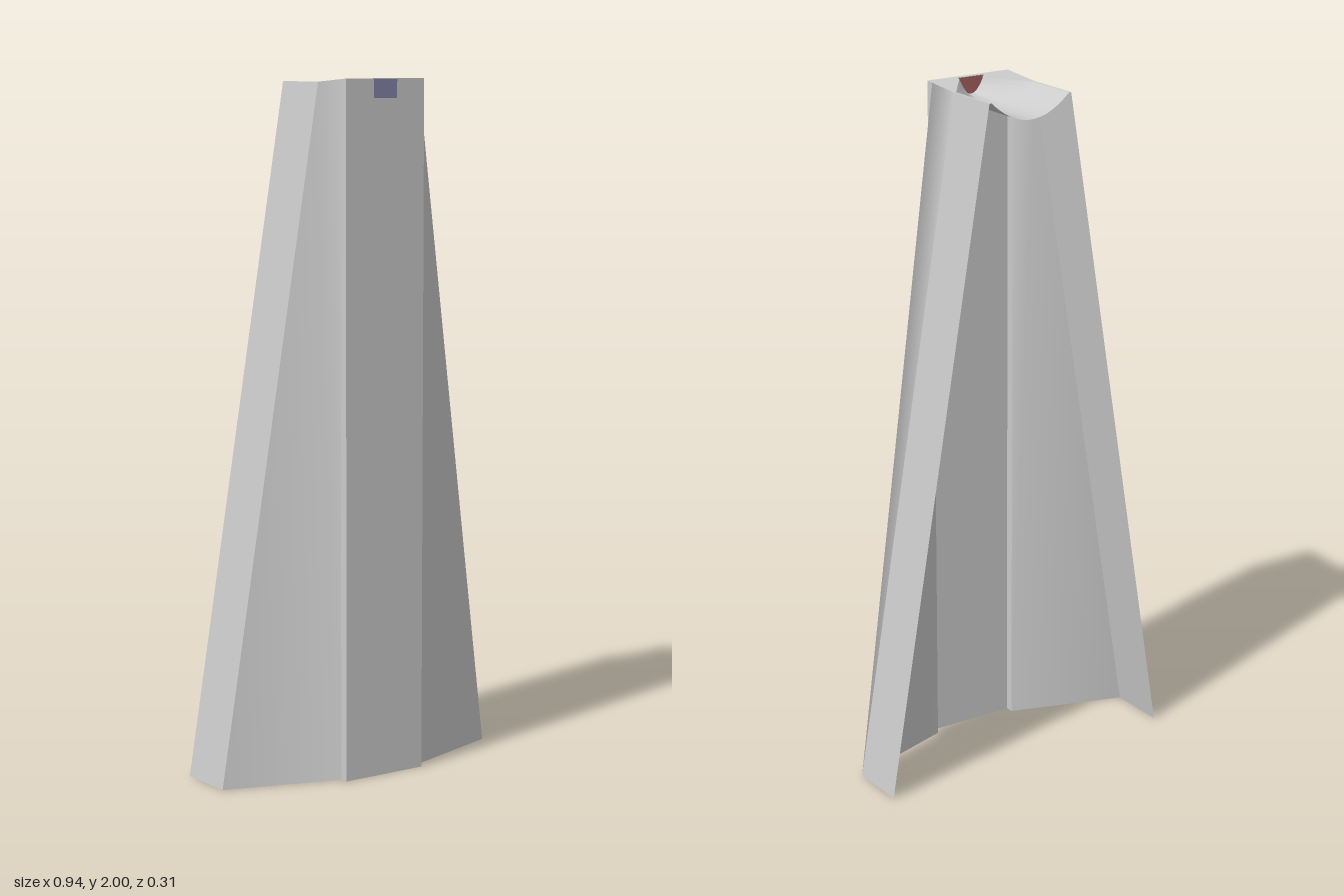
import * as THREE from 'three';
import { toCreasedNormals } from 'three/addons/utils/BufferGeometryUtils.js';

const W = 0.135, FOOT = 0.47;            // half widths at the top and the foot
const FRONT = 0.155, FOLD = 0.13, CORNER = 0.02, BACK = -0.155;
const TOP = 1.99;

function material(color = 0xcccccc) {
  return new THREE.MeshStandardMaterial({ color, side: THREE.DoubleSide });
}

// Sheet from four corners, counter-clockwise from outside; split along corners 0-2
function sheet(name, corners, color) {
  const geo = new THREE.BufferGeometry();
  geo.setAttribute('position', new THREE.Float32BufferAttribute(corners.flat(), 3));
  geo.setIndex([0, 1, 2, 0, 2, 3]);
  geo.computeVertexNormals();
  const mesh = new THREE.Mesh(geo, material(color));
  mesh.name = name;
  return mesh;
}

// Top deck: a hollow channel that narrows to a notch behind the front panel
function channelDeck() {
  const N = 20;
  // z, channel half width, rim height, channel depth
  const stations = [
    [BACK, 0.128, TOP, 0.06], [CORNER, 0.128, TOP, 0.06],
    [FOLD, 0.045, 1.998, 0.05], [0.142, 0.045, 1.999, 0.05],
    [0.142, 0.045, 1.999, 0], [FRONT, 0.045, 2, 0],
  ];
  const pos = [], index = [];
  const cols = N + 3;
  for (const [z, half, y, depth] of stations) {
    pos.push(-W, y, z);
    for (let i = 0; i <= N; i++) {
      const u = (i / N) * 2 - 1;
      pos.push(u * half, y - depth * (1 - u * u), z);
    }
    pos.push(W, y, z);
  }
  for (let r = 0; r < stations.length - 1; r++) {
    for (let c = 0; c < cols - 1; c++) {
      const a = r * cols + c, b = a + cols;
      index.push(a, b, b + 1, a, b + 1, a + 1);
    }
  }
  const geo = new THREE.BufferGeometry();
  geo.setAttribute('position', new THREE.Float32BufferAttribute(pos, 3));
  geo.setIndex(index);
  const mesh = new THREE.Mesh(toCreasedNormals(geo, 0.5), material());
  mesh.name = 'channelDeck';
  return mesh;
}

export function createModel() {
  const model = new THREE.Group();
  model.name = 'taperedPillar';

  // Flat front panel
  model.add(sheet('frontPanel', [[-W, 0, FRONT], [W, 0, FRONT], [W, 2, FRONT], [-W, 2, FRONT]]));

  for (const s of [1, -1]) {
    const side = s > 0 ? 'left' : 'right';
    const wind = (pts) => (s > 0 ? pts : [pts[0], pts[3], pts[2], pts[1]]);

    // Narrow return behind the front panel
    model.add(sheet(side + 'PanelReturn', wind([
      [s * W, 0, FRONT], [s * W, 0, FOLD], [s * W, 1.998, FOLD], [s * W, 2, FRONT],
    ])));

    // Twisted wing spreading towards the foot, folded along a different diagonal on each side
    const inFoot = [s * W, 0, FOLD], outFoot = [s * FOOT, 0, CORNER];
    const outTop = [s * W, TOP, CORNER], inTop = [s * W, 1.998, FOLD];
    model.add(sheet(side + 'Wing', s > 0
      ? [outFoot, outTop, inTop, inFoot]
      : [inFoot, inTop, outTop, outFoot]));

    // Sloping side panel
    model.add(sheet(side + 'SidePanel', wind([
      [s * FOOT, 0, CORNER], [s * FOOT, 0, BACK], [s * W, TOP, BACK], [s * W, TOP, CORNER],
    ])));
  }

  model.add(channelDeck());

  // Small coloured plates on the front and in the notch
  model.add(sheet('frontPlate', [
    [-0.04, 1.945, 0.156], [0.04, 1.945, 0.156], [0.04, 1.998, 0.156], [-0.04, 1.998, 0.156],
  ], 0x8484a8));
  model.add(sheet('notchPlate', [
    [0.04, 1.95, 0.141], [-0.04, 1.95, 0.141], [-0.04, 1.998, 0.141], [0.04, 1.998, 0.141],
  ], 0xa86060));

  return model;
}
